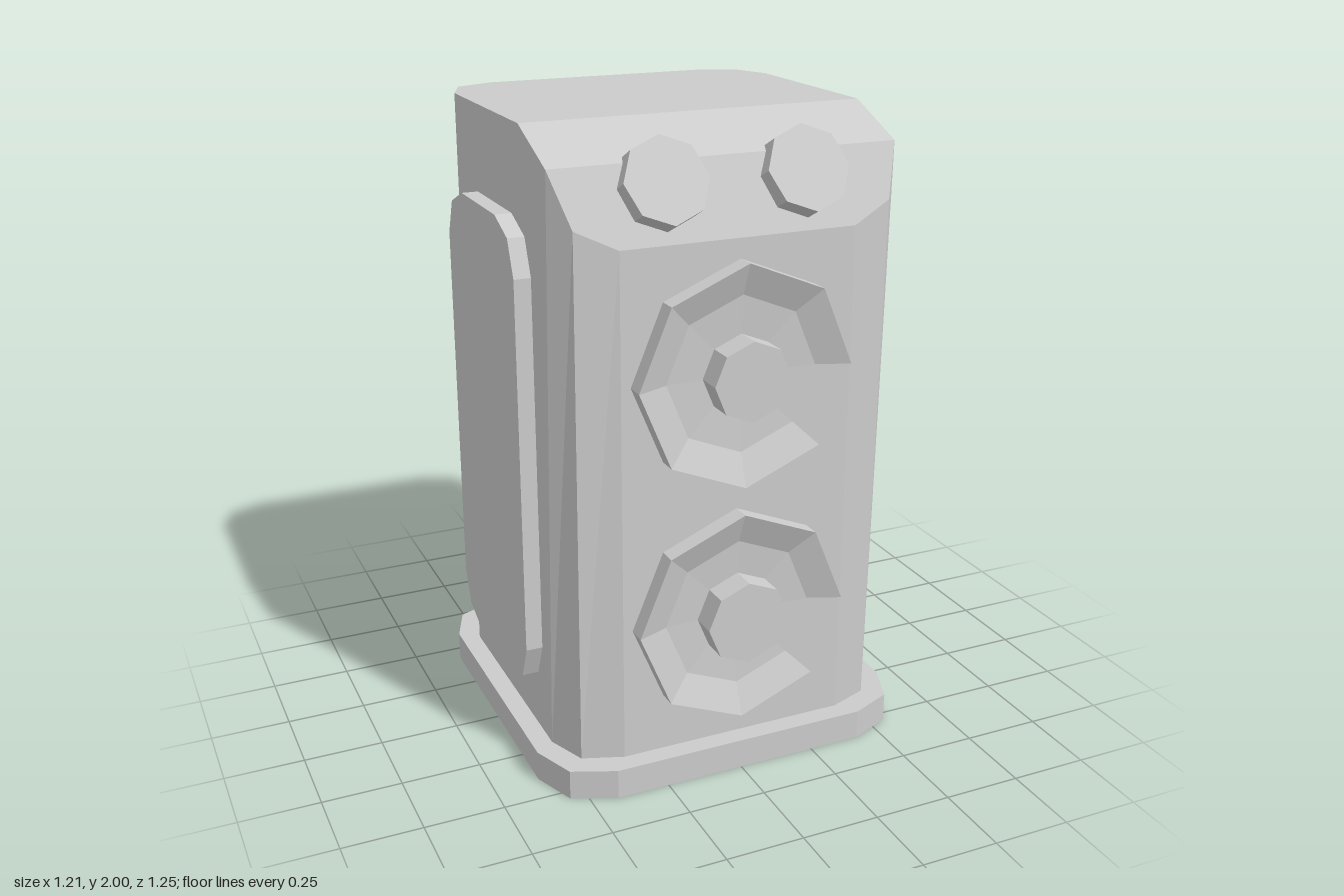
import * as THREE from 'three';

const material = new THREE.MeshStandardMaterial({ color: 0xcccccc, flatShading: true });

function addMesh(parent, name, geometry, x = 0, y = 0, z = 0) {
  const mesh = new THREE.Mesh(geometry, material);
  mesh.name = name;
  mesh.position.set(x, y, z);
  parent.add(mesh);
  return mesh;
}

// Mirrored block: each row, from back to front, is [x, z at bottom, z at top, y at top]
function mirroredBlock(rows, y0) {
  const pos = [];
  const quad = (a, b, c, d) => pos.push(...a, ...b, ...c, ...a, ...c, ...d);
  const low = (r, s) => [s * r[0], y0, r[1]];
  const high = (r, s) => [s * r[0], r[3], r[2]];
  for (let i = 0; i < rows.length - 1; i++) {
    const a = rows[i], b = rows[i + 1];
    quad(low(b, 1), low(a, 1), high(a, 1), high(b, 1)); // left wall
    quad(low(a, -1), low(b, -1), high(b, -1), high(a, -1)); // right wall
    quad(high(a, -1), high(b, -1), high(b, 1), high(a, 1)); // top strip
    quad(low(a, 1), low(b, 1), low(b, -1), low(a, -1)); // bottom strip
  }
  const back = rows[0], front = rows[rows.length - 1];
  quad(low(back, 1), low(back, -1), high(back, -1), high(back, 1));
  quad(low(front, -1), low(front, 1), high(front, 1), high(front, -1));
  const geometry = new THREE.BufferGeometry();
  geometry.setAttribute('position', new THREE.Float32BufferAttribute(pos, 3));
  geometry.computeVertexNormals();
  return geometry;
}

// Rectangle with two-step corners
function facetedRect(w, h, r) {
  const points = [];
  [[1, 1], [-1, 1], [-1, -1], [1, -1]].forEach(([sx, sy], q) => {
    for (let k = 0; k < 3; k++) {
      const a = (q + k / 2) * Math.PI / 2;
      points.push(new THREE.Vector2(
        sx * (w / 2 - r) + r * Math.cos(a), sy * (h / 2 - r) + r * Math.sin(a)));
    }
  });
  return new THREE.Shape(points);
}

export function createModel() {
  const model = new THREE.Group();
  model.name = 'speakerCabinet';

  // Plinth
  const h = 0.095;
  addMesh(model, 'base', mirroredBlock([
    [0.418, -0.622, -0.622, h], [0.553, -0.567, -0.567, h], [0.607, -0.43, -0.43, h],
    [0.607, 0.40, 0.40, h], [0.553, 0.538, 0.538, h], [0.418, 0.594, 0.594, h],
  ], 0));

  // Cabinet with a bevelled upper front edge
  addMesh(model, 'cabinet', mirroredBlock([
    [0.37, -0.56, -0.56, 2], [0.495, -0.51, -0.51, 2], [0.545, -0.385, -0.385, 2],
    [0.545, 0.22, 0.22, 2], [0.545, 0.36, 0.44, 1.91],
    [0.495, 0.485, 0.505, 1.75], [0.37, 0.53, 0.53, 1.69],
  ], 0.09));

  // Raised side panels
  const panel = new THREE.ExtrudeGeometry(facetedRect(0.63, 1.49, 0.155),
    { depth: 0.097, bevelEnabled: false });
  for (const s of [1, -1]) {
    addMesh(model, s > 0 ? 'leftPanel' : 'rightPanel', panel, s * 0.5, 0.985, -0.02)
      .rotation.y = s * Math.PI / 2;
  }

  // Eight-sided speaker dishes with central hubs
  const profile = [[0.34, -0.02], [0.34, 0.06], [0.24, 0.02], [0, 0.005]]
    .map(([r, y]) => new THREE.Vector2(r, y));
  const dish = new THREE.LatheGeometry(profile, 8);
  for (const [name, y, r] of [['upperSpeaker', 1.29, 0.122], ['lowerSpeaker', 0.522, 0.132]]) {
    const speaker = new THREE.Group();
    speaker.name = name;
    speaker.position.set(0, y, 0.53);
    speaker.rotation.x = Math.PI / 2;
    addMesh(speaker, 'dish', dish);
    addMesh(speaker, 'hub', new THREE.CylinderGeometry(r, r, 0.095, 8), 0, 0.0475, 0);
    model.add(speaker);
  }

  // Tilted knobs on the bevel
  const knob = new THREE.CylinderGeometry(0.13, 0.13, 0.11, 8).translate(0, -0.055, 0);
  for (const s of [1, -1]) {
    addMesh(model, s > 0 ? 'leftKnob' : 'rightKnob', knob, s * 0.22, 1.869, 0.514)
      .rotation.x = THREE.MathUtils.degToRad(63);
  }
  return model;
}
